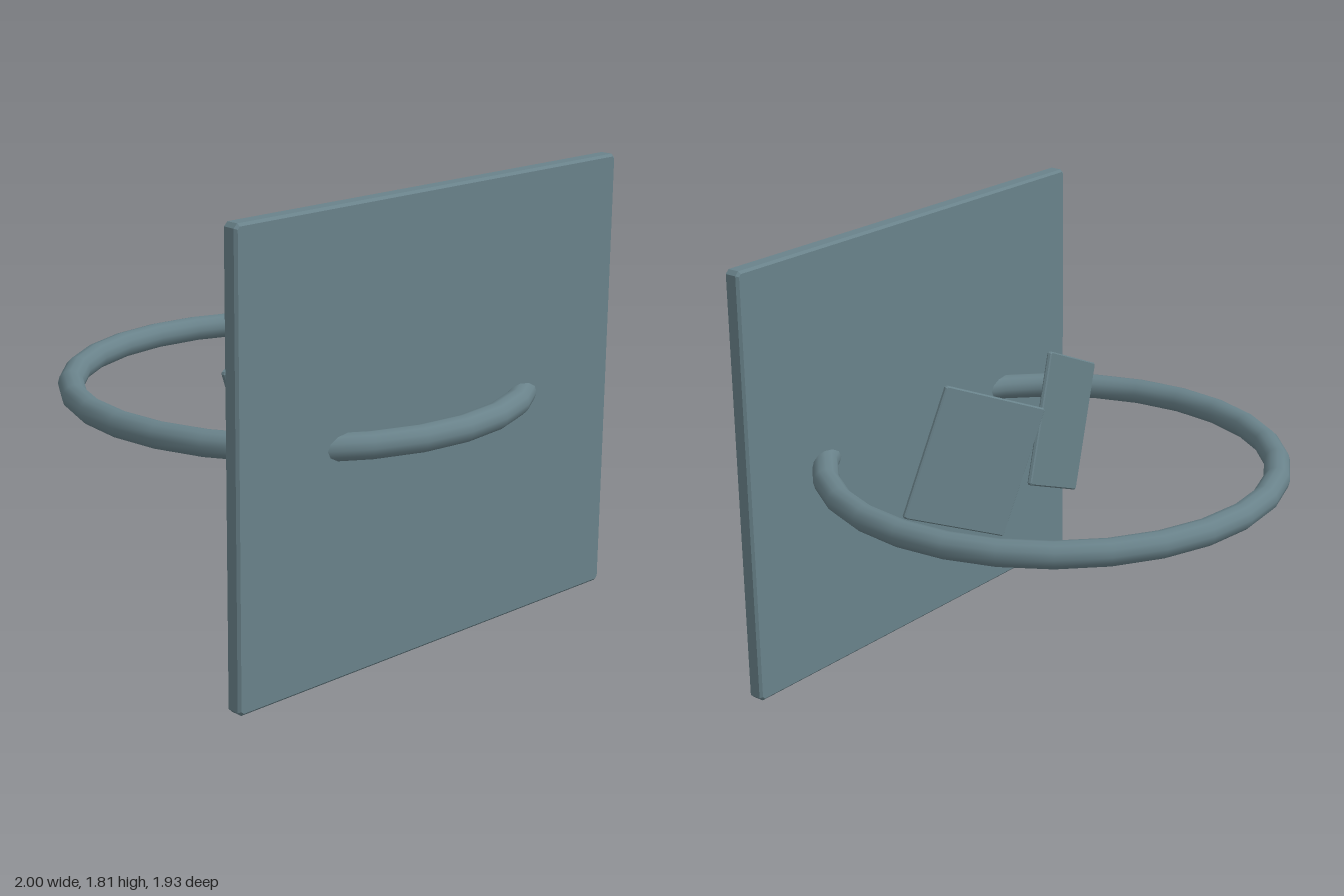
import * as THREE from 'three';

const material = new THREE.MeshStandardMaterial({ color: 0x69828a });

// Flat slab, centred on the origin, with every edge chamfered by c
function slab(name, w, h, d, c) {
  const x = w / 2 - c, y = h / 2 - c;
  const outline = new THREE.Shape([
    [x, -y + c], [x, y - c], [x - c, y], [-x + c, y],
    [-x, y - c], [-x, -y + c], [-x + c, -y], [x - c, -y],
  ].map(([px, py]) => new THREE.Vector2(px, py)));
  const geometry = new THREE.ExtrudeGeometry(outline, {
    depth: d - 2 * c, bevelEnabled: true, bevelThickness: c, bevelSize: c, bevelSegments: 1,
  });
  geometry.translate(0, 0, -(d / 2 - c));
  const mesh = new THREE.Mesh(geometry, material);
  mesh.name = name;
  return mesh;
}

export function createModel() {
  const group = new THREE.Group();
  group.name = 'panelWithRing';

  // Large upright panel at the front
  const panel = slab('frontPanel', 2, 1.81, 0.07, 0.01);
  panel.position.set(0, 0.905, 0.742);
  group.add(panel);

  // Horizontal ring passing through the panel
  const ring = new THREE.Mesh(new THREE.TorusGeometry(0.913, 0.053, 12, 28), material);
  ring.name = 'ring';
  ring.rotation.x = -Math.PI / 2;
  ring.position.y = 0.91;
  group.add(ring);

  // Two thin tilted plates, yawed away from each other and crossing at the middle
  for (const side of [-1, 1]) {
    const plate = slab(side > 0 ? 'leftPlate' : 'rightPlate', 0.52, 0.55, 0.02, 0.005);
    plate.position.set(side * 0.284, 0.955, 0.165);
    plate.rotation.set(0, THREE.MathUtils.degToRad(-15 * side), THREE.MathUtils.degToRad(23));
    group.add(plate);
  }
  return group;
}
